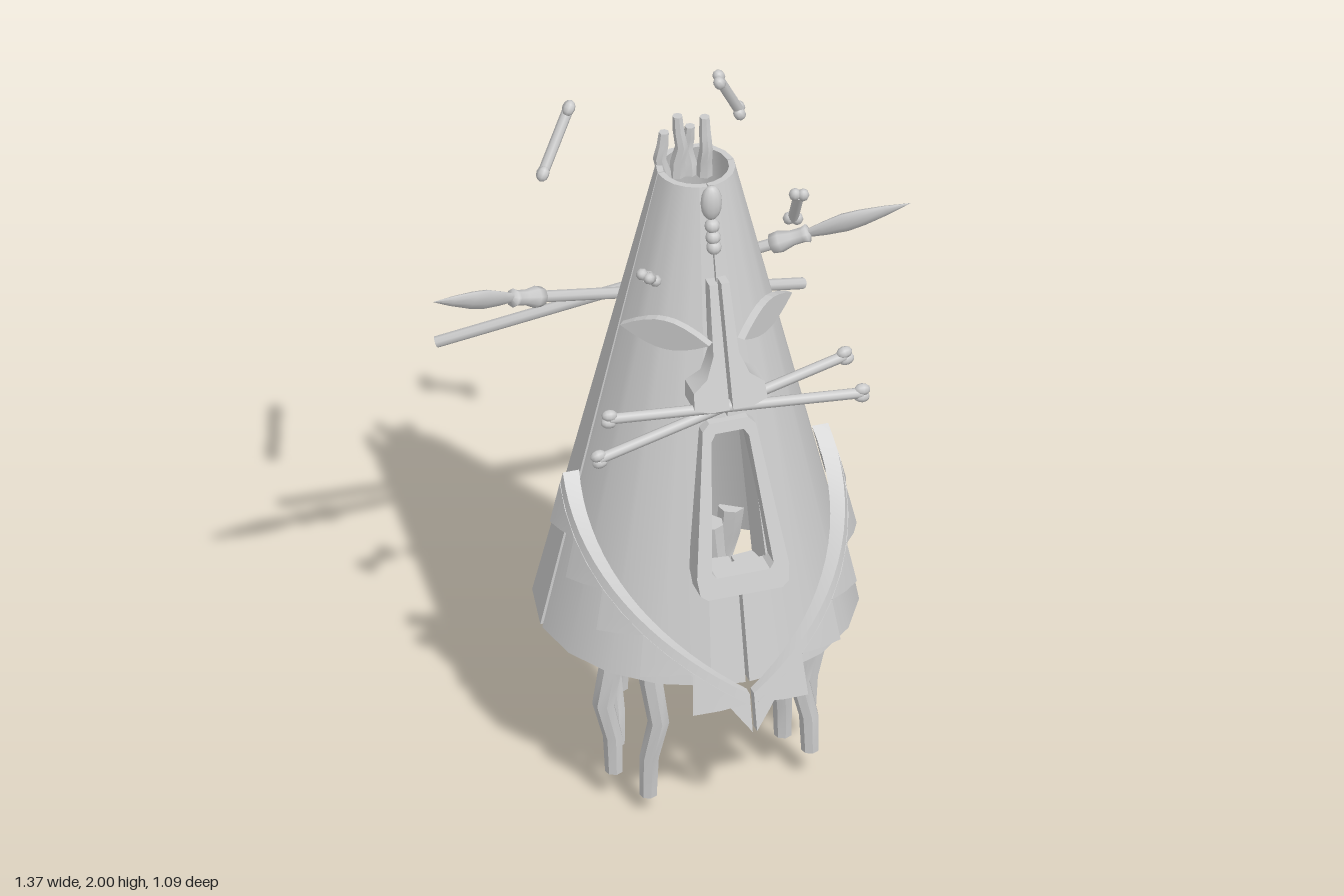
import * as THREE from 'three';
import { toCreasedNormals } from 'three/addons/utils/BufferGeometryUtils.js';

const CX = 0.029, CZ = 0.045; // axis of the cone
const Y0 = 0.46, Y1 = 1.845;
const D = Math.PI / 180;
const material = new THREE.MeshStandardMaterial({ color: 0xcccccc, side: THREE.DoubleSide });
const lerp = THREE.MathUtils.lerp;
const V = (p) => new THREE.Vector3(...p);

const outer = (y) => lerp(0.438, 0.107, (y - Y0) / (Y1 - Y0));
const inner = (y) => lerp(0.345, 0.09, (y - Y0) / (Y1 - Y0));

function add(parent, name, geometry, position = [0, 0, 0]) {
  const mesh = new THREE.Mesh(geometry, material);
  mesh.name = name;
  mesh.position.set(...position);
  parent.add(mesh);
  return mesh;
}

// Move every vertex of a geometry by a rule, then recompute normals
function warp(geometry, rule) {
  const p = geometry.attributes.position;
  for (let i = 0; i < p.count; i++) p.setXYZ(i, ...rule(p.getX(i), p.getY(i), p.getZ(i)));
  return toCreasedNormals(geometry, 35 * D);
}

// Curved wall: box x becomes angle (0 = front), y height, z radius
function wall(a0, a1, segments, lo, hi, rIn, rOut) {
  return warp(new THREE.BoxGeometry(1, 1, 1, segments, 1, 1), (u, v, w) => {
    const a = lerp(a0, a1, u + 0.5);
    const y = lerp(lo(a), hi(a), v + 0.5);
    const r = w > 0 ? rOut(y, a) : rIn(y);
    return [r * Math.sin(a * D), y, r * Math.max(Math.cos(a * D), -0.93)];
  });
}

// Flat outline laid against the cone front, leaning back a little more than the cone
function slab(points, hole, back, front) {
  const shape = new THREE.Shape(points.map((p) => new THREE.Vector2(...p)));
  if (hole) shape.holes.push(new THREE.Path(hole.map((p) => new THREE.Vector2(...p))));
  const geometry = new THREE.ExtrudeGeometry(shape, { depth: front - back, bevelEnabled: false });
  return warp(geometry, (x, y, z) => [x, y, z + back + outer(y) - 0.06 * (y - 0.73)]);
}

// Turn a group built along y, centred, so that it runs from p to q
function span(group, p, q) {
  const a = V(p), b = V(q);
  group.position.copy(a).lerp(b, 0.5);
  group.quaternion.setFromUnitVectors(new THREE.Vector3(0, 1, 0), b.sub(a).normalize());
  return group;
}

function bone(name, p, q) {
  const group = new THREE.Group();
  group.name = name;
  const length = V(p).distanceTo(V(q));
  add(group, 'boneShaft', new THREE.CylinderGeometry(0.015, 0.015, length, 8));
  for (const end of [-1, 1]) for (const side of [-1, 1])
    add(group, 'boneKnob', new THREE.SphereGeometry(0.017, 8, 6), [side * 0.011, end * length / 2, 0])
      .scale.y = 1.3;
  return span(group, p, q);
}

function spear(name, tail, tip) {
  const group = new THREE.Group();
  group.name = name;
  const h = V(tail).distanceTo(V(tip)) / 2;
  const shaft = h * 1.45;
  add(group, 'spearShaft', new THREE.CylinderGeometry(0.016, 0.016, shaft, 8), [0, shaft / 2 - h, 0]);
  const lathe = (pts) => new THREE.LatheGeometry(pts.map((p) => new THREE.Vector2(...p)), 8);
  add(group, 'spearBinding', lathe([[0, h - 0.41], [0.027, h - 0.4], [0.03, h - 0.375],
    [0.021, h - 0.34], [0.021, h - 0.31], [0.026, h - 0.295], [0, h - 0.285]]));
  const blade = add(group, 'spearBlade', lathe([[0.012, h - 0.31], [0.026, h - 0.25], [0.035, h - 0.19],
    [0.031, h - 0.14], [0.018, h - 0.07], [0, h]]));
  blade.scale.z = 0.5;
  return span(group, tail, tip);
}

// Kinked, tapering strand of hair
function strand(parent, name, [x, yEnd, z], yRoot, rRoot, rEnd, sway, turn) {
  const h = Math.abs(yRoot - yEnd);
  const down = yEnd < yRoot;
  const geometry = new THREE.CylinderGeometry(down ? rRoot : rEnd, down ? rEnd : rRoot, h, 7, 4);
  const kink = [0, 0.1, 1, 0.3, 0];
  add(parent, name, warp(geometry, (px, py, pz) => {
    const k = kink[Math.round((py / h + 0.5) * 4)] * sway;
    return [px + k * Math.cos(turn), py, pz + k * Math.sin(turn)];
  }), [x, (yRoot + yEnd) / 2, z]);
}

export function createModel() {
  const model = new THREE.Group();
  const mask = new THREE.Group();
  mask.name = 'mask';
  mask.position.set(CX, 0, CZ);
  model.add(mask);

  // Hollow cone: back half, and two front quarters around the mouth opening
  const flat = (y) => () => y;
  const M0 = 0.77, M1 = 1.18, MA = 13;
  add(mask, 'backShell', wall(90, 270, 8, flat(Y0), flat(Y1), inner, outer));
  for (const s of [-1, 1]) {
    // Wall on one side of the face, given by angles from the centre line
    const side = (name, a, b, n, ...rest) => add(mask, name, wall(s > 0 ? a : -b, s > 0 ? b : -a, n, ...rest));
    const shell = (a, b, n, lo, hi) => side('frontShell', a, b, n, flat(lo), flat(hi), inner, outer);
    shell(MA, 88, 4, Y0, Y1);
    shell(0.7, MA, 1, Y0, M0);
    shell(0.7, MA, 1, M1, Y1);

    // Half of the nose
    const nose = [[0.005, 1.59], [0.028, 1.59], [0.036, 1.4], [0.06, 1.34], [0.1, 1.31],
      [0.103, 1.265], [0.06, 1.25], [0.005, 1.25]];
    add(mask, 'nose', slab(nose.map(([x, y]) => [s * x, y]), null, 0, 0.085));

    // Leaf shaped eye
    const lid = new THREE.Shape();
    lid.moveTo(-0.13, 0);
    lid.quadraticCurveTo(-0.05, 0.05, 0, 0.048);
    lid.quadraticCurveTo(0.05, 0.05, 0.13, 0);
    lid.quadraticCurveTo(0.05, -0.045, 0, -0.043);
    lid.quadraticCurveTo(-0.05, -0.045, -0.13, 0);
    const eye = add(mask, 'eye', new THREE.ExtrudeGeometry(lid, {
      depth: 0.022, bevelEnabled: false, curveSegments: 4 }), [s * 0.132, 1.44, 0.16]);
    eye.rotation.y = s * 42 * D;

    // Half of the jaw band, deepest at the chin, with saw teeth along its lower edge
    const hi = (a) => 0.44 + 0.0055 * Math.abs(a);
    const bandIn = (y) => outer(y) + 0.004;
    const bandOut = (y, a) => outer(y) + 0.032 + 0.0002 * Math.abs(a);
    const lower = (a) => hi(a) - 0.04 - 0.07 * Math.max(0, 1 - Math.abs(a) / 12);
    side('jawBand', 0.7, 90, 18, lower, hi, bandIn, bandOut);
    for (let i = 0; i < 5; i++) {
      const a = 2 + i * 17.6, b = a + 17.4;
      const tip = (t) => hi(t) - 0.032 - 0.115 * (Math.abs(t) - a) / (b - a);
      side('tooth', a, b, 2, tip, (t) => hi(t) - 0.03, bandIn, (y, t) => bandOut(y, t) + 0.002);
    }
  }

  // Raised mouth frame
  add(mask, 'mouthFrame', slab(
    [[-0.055, 1.2], [-0.075, 1.18], [-0.13, 0.79], [-0.125, 0.745], [-0.105, 0.73],
      [0.105, 0.73], [0.125, 0.745], [0.13, 0.79], [0.075, 1.18], [0.055, 1.2]],
    [[-0.04, 1.17], [0.04, 1.17], [0.053, 1.15], [0.087, 0.8], [0.075, 0.785],
      [-0.075, 0.785], [-0.087, 0.8], [-0.053, 1.15]],
    -0.02, 0.045));

  // Forehead pendant with three beads
  add(mask, 'pendant', new THREE.SphereGeometry(0.03, 12, 8), [0, 1.81, 0.133]).scale.set(1, 1.8, 0.8);
  [1.74, 1.708, 1.68].forEach((y) =>
    add(mask, 'bead', new THREE.SphereGeometry(0.021, 10, 8), [0, y, outer(y) + 0.008]));

  // Bones crossing the nose, and four loose bones in the air
  model.add(bone('noseBone', [-0.31, 1.28, 0.328], [0.405, 1.21, 0.325]));
  model.add(bone('noseBone', [-0.335, 1.15, 0.318], [0.36, 1.335, 0.318]));
  [
    [[-0.245, 1.93, -0.205], [-0.34, 1.78, -0.14]],
    [[-0.265, 1.84, 0.5], [-0.205, 1.74, 0.375]],
    [[0.185, 1.975, 0.45], [0.2, 1.835, 0.355]],
    [[0.18, 1.93, -0.205], [0.255, 1.78, -0.26]],
  ].forEach(([p, q]) => model.add(bone('floatingBone', p, q)));

  // Crossed spears behind
  model.add(spear('spear', [0.51, 1.025, -0.485], [-0.685, 1.505, -0.037]));
  model.add(spear('spear', [-0.51, 1.025, -0.53], [0.68, 1.505, -0.08]));

  // Hair hanging below the rim
  [
    [-0.27, 0.09, 0.25], [-0.2, 0.05, 0.33], [-0.24, 0.13, 0.18], [0.2, 0.12, 0.27],
    [0.3, 0.13, 0.18], [0.26, 0.09, 0.32], [-0.11, 0.05, -0.18], [0.01, 0, -0.25],
    [0.1, 0.15, -0.29], [0.14, 0.19, -0.16], [0.22, 0.2, -0.22], [-0.17, 0.2, -0.26],
  ].forEach((p, i) => strand(model, 'hairStrand', p, 0.54, 0.036, 0.024, i % 2 ? 0.03 : -0.03, i * 0.7));

  // Tuft at the top
  [[-0.045, 1.94, 0], [0.0, 1.97, -0.02], [0.035, 1.93, -0.02], [0.07, 1.965, 0]]
    .forEach((p, i) => strand(model, 'tuft', p, 1.78, 0.023, 0.014, i % 2 ? 0.012 : -0.012, i * 0.5));

  return model;
}
